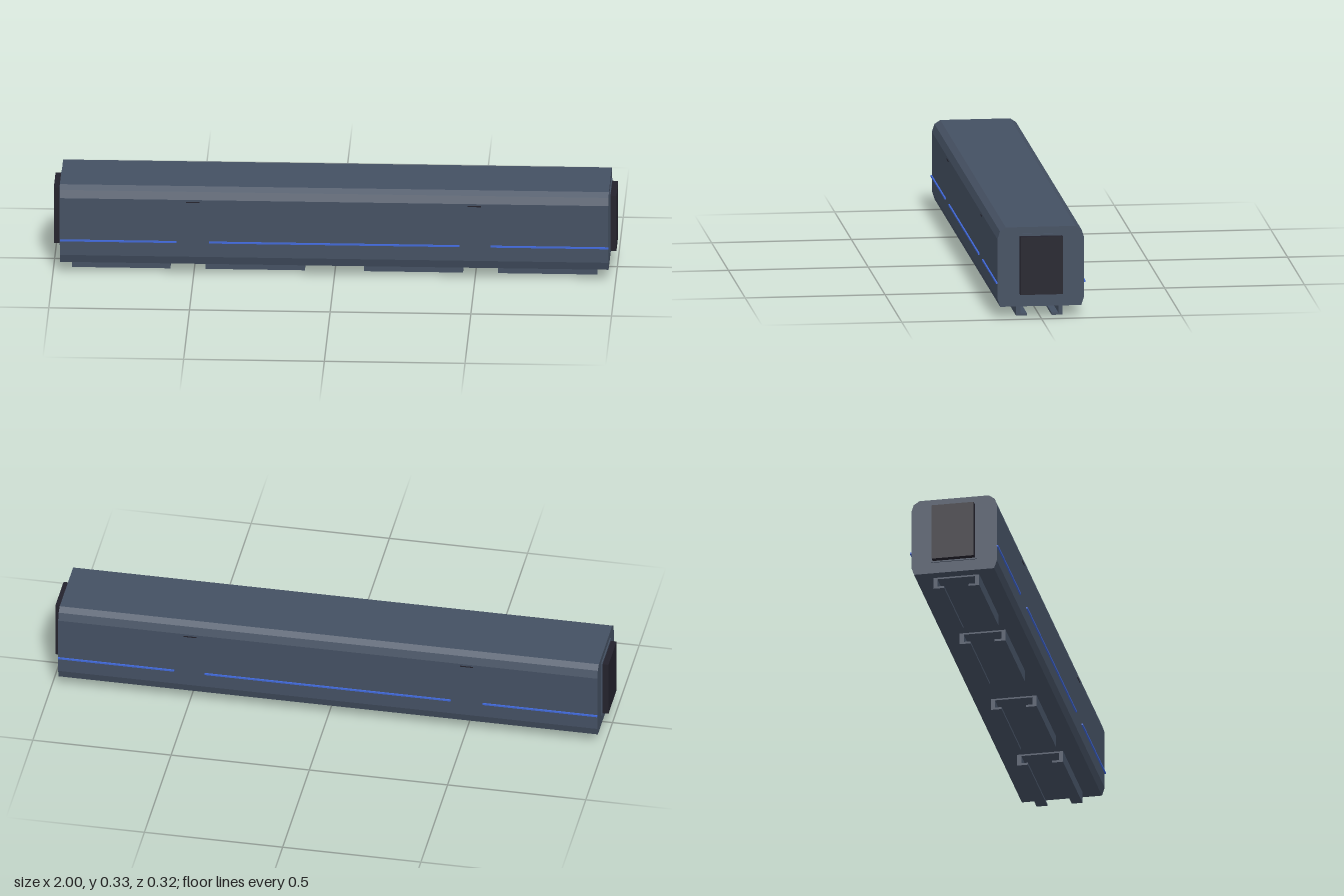
import * as THREE from 'three';

export function createModel() {
  const mat = (name, color) => {
    const m = new THREE.MeshStandardMaterial({ color });
    m.name = name;
    return m;
  };
  const slate = mat('slate', 0x445062);
  const dark = mat('dark', 0x23222c);
  const blue = mat('blue', 0x4068d8);

  const model = new THREE.Group();
  model.name = 'railCar';

  // Box given by its limits on each axis
  const box = (name, material, [x0, x1], [y0, y1], [z0, z1], parent = model) => {
    const mesh = new THREE.Mesh(new THREE.BoxGeometry(x1 - x0, y1 - y0, z1 - z0), material);
    mesh.position.set((x0 + x1) / 2, (y0 + y1) / 2, (z0 + z1) / 2);
    mesh.name = name;
    parent.add(mesh);
  };
  const span = (a, b) => [Math.min(a, b), Math.max(a, b)];

  // Car body: chamfered section swept along x
  const half = [[0.145, 0.042], [0.155, 0.072], [0.155, 0.287], [0.146, 0.315], [0.125, 0.329]];
  const outline = [...half, ...half.map(([z, y]) => [-z, y]).reverse()];
  const section = new THREE.Shape(outline.map(([z, y]) => new THREE.Vector2(z, y)));
  const bodyGeometry = new THREE.ExtrudeGeometry(section, { depth: 1.95, bevelEnabled: false });
  bodyGeometry.translate(0, 0, -0.975).rotateY(Math.PI / 2);
  const body = new THREE.Mesh(bodyGeometry, slate);
  body.name = 'body';
  model.add(body);

  // End gangways: thin frame and dark connector
  for (const s of [-1, 1]) {
    box('gangwayFrame', slate, span(s * 0.97, s * 0.979), [0.083, 0.305], [-0.083, 0.083]);
    box('gangway', dark, span(s * 0.97, s), [0.088, 0.297], [-0.076, 0.076]);
  }

  // Side stripes, broken at the doors, and door lamps
  for (const s of [-1, 1]) {
    const z = span(s * 0.153, s * 0.16);
    for (const x of [[-0.975, -0.56], [-0.445, 0.445], [0.555, 0.975]]) {
      box('sideStripe', blue, x, [0.125, 0.131], z);
    }
    for (const x of [-0.502, 0.498]) {
      box('doorLamp', dark, [x - 0.024, x + 0.024], [0.276, 0.28], span(s * 0.153, s * 0.156));
    }
  }

  // Underframe channels: top plate, side walls and inward feet
  for (const x of [[-0.935, -0.585], [-0.46, -0.107], [0.103, 0.455], [0.58, 0.932]]) {
    const channel = new THREE.Group();
    channel.name = 'underframe';
    model.add(channel);
    box('topPlate', slate, x, [0.036, 0.044], [-0.068, 0.068], channel);
    for (const s of [-1, 1]) {
      box('sideWall', slate, x, [0, 0.044], span(s * 0.068, s * 0.083), channel);
      box('foot', slate, x, [0, 0.008], span(s * 0.044, s * 0.068), channel);
    }
  }

  return model;
}
